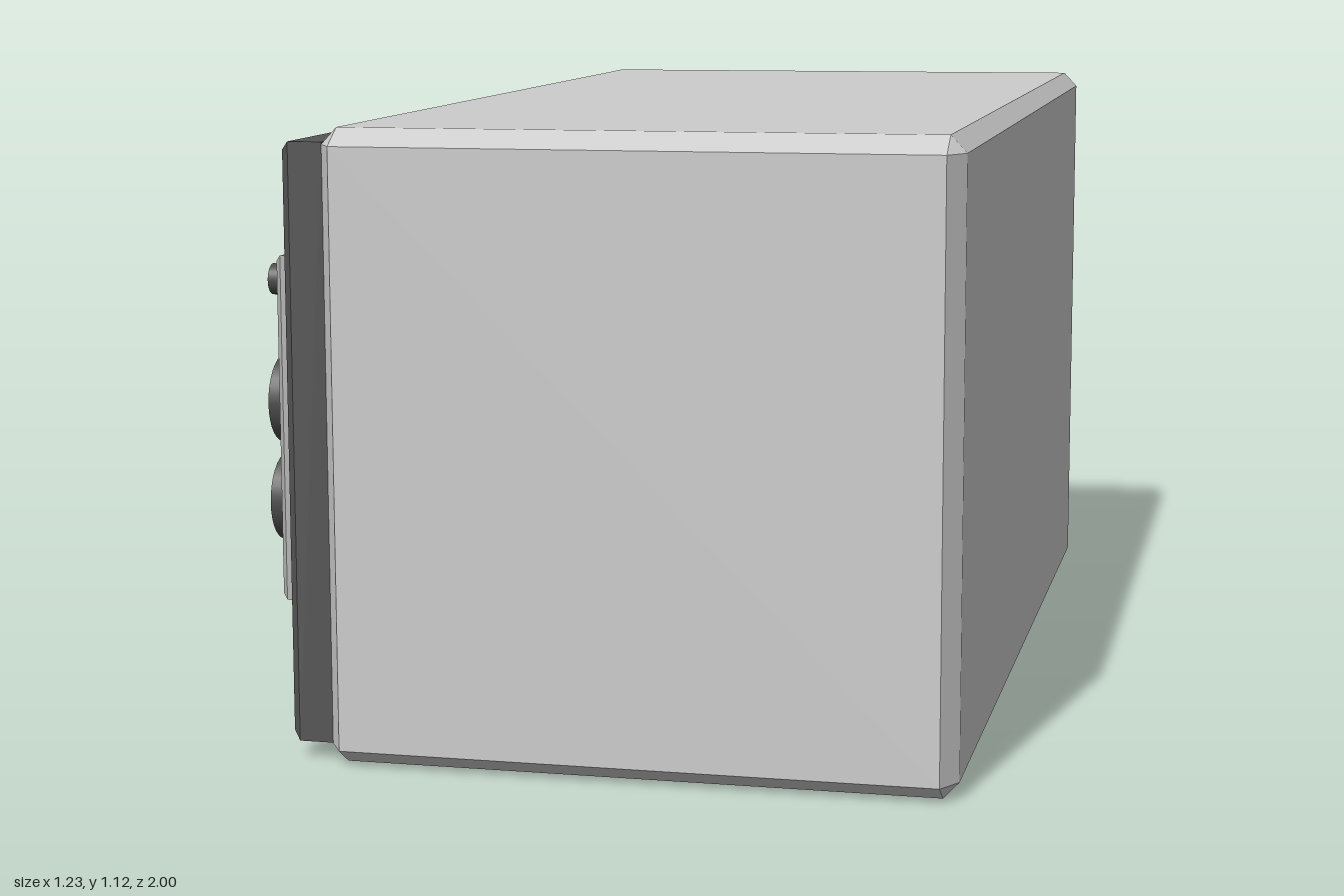
import * as THREE from 'three';
import { ConvexGeometry } from 'three/addons/geometries/ConvexGeometry.js';

const SLOPE = -0.0165; // the roof drops gently towards +z

const material = (color) => new THREE.MeshStandardMaterial({ color, flatShading: true });

function add(parent, name, geometry, mat) {
  const mesh = new THREE.Mesh(geometry, mat);
  mesh.name = name;
  parent.add(mesh);
  return mesh;
}

// Chamfered cabinet: each corner gives three points, one on each neighbouring face
function cabinetGeometry() {
  const x = [-0.47, 0.61], y = [0, 1.1], z = [-1, 1];
  const bx = 0.027, by = 0.029, bz = 0.045;
  const points = [];
  for (const i of [0, 1]) for (const j of [0, 1]) for (const k of [0, 1]) {
    const inX = x[i] + (i ? -bx : bx);
    const inY = y[j] + (j ? -by : by);
    const inZ = z[k] + (k ? -bz : bz);
    for (const [px, py, pz] of [[x[i], inY, inZ], [inX, y[j], inZ], [inX, inY, z[k]]]) {
      points.push(new THREE.Vector3(px, py + j * SLOPE * pz, pz));
    }
  }
  return new ConvexGeometry(points);
}

// Four-sided outline in (z, y), with a top edge that may follow the roof slope
function outline(z0, z1, y0, y1, slope, PathType = THREE.Shape) {
  return new PathType([
    new THREE.Vector2(z0, y0), new THREE.Vector2(z1, y0),
    new THREE.Vector2(z1, y1 + slope * z1), new THREE.Vector2(z0, y1 + slope * z0),
  ]);
}

// Plate lying in the z-y plane, from xBack out to xFront, with chamfered rims
function plateGeometry(shape, xBack, xFront, bevel) {
  const geometry = new THREE.ExtrudeGeometry(shape, {
    depth: xBack - xFront - 2 * bevel,
    bevelEnabled: bevel > 0, bevelSize: bevel, bevelThickness: bevel, bevelSegments: 1,
  });
  return geometry.rotateY(-Math.PI / 2).translate(xBack - bevel, 0, 0);
}

export function createModel() {
  const model = new THREE.Group();
  model.name = 'television';
  const dark = material(0x555555);

  add(model, 'cabinet', cabinetGeometry(), material(0xcccccc));

  // Dark face panel with the screen opening
  const face = outline(-0.94, 0.94, 0.045, 1.06, SLOPE);
  face.holes.push(outline(-0.9, 0.61, 0.14, 0.95, SLOPE, THREE.Path));
  add(model, 'facePanel', plateGeometry(face, -0.455, -0.545, 0.015), dark);

  // Recessed screen
  const screen = outline(-0.9, 0.61, 0.14, 0.95, SLOPE);
  add(model, 'screen', plateGeometry(screen, -0.46, -0.49, 0), material(0x111111));

  // Control plate
  const plate = outline(0.675, 0.875, 0.27, 0.85, 0);
  add(model, 'controlPlate', plateGeometry(plate, -0.535, -0.585, 0.01), material(0xb4b4b4));

  // Two large dials and two small buttons: [name, y, z, radius]
  const knobMaterial = new THREE.MeshStandardMaterial({ color: 0x4c4c4c });
  const knobs = [
    ['lowerDial', 0.423, 0.775, 0.077],
    ['upperDial', 0.598, 0.775, 0.077],
    ['lowerButton', 0.728, 0.73, 0.027],
    ['upperButton', 0.812, 0.815, 0.027],
  ];
  for (const [name, y, z, radius] of knobs) {
    const geometry = new THREE.CylinderGeometry(radius, radius, 0.04, 32).rotateZ(Math.PI / 2);
    add(model, name, geometry, knobMaterial).position.set(-0.595, y, z);
  }

  return model;
}
